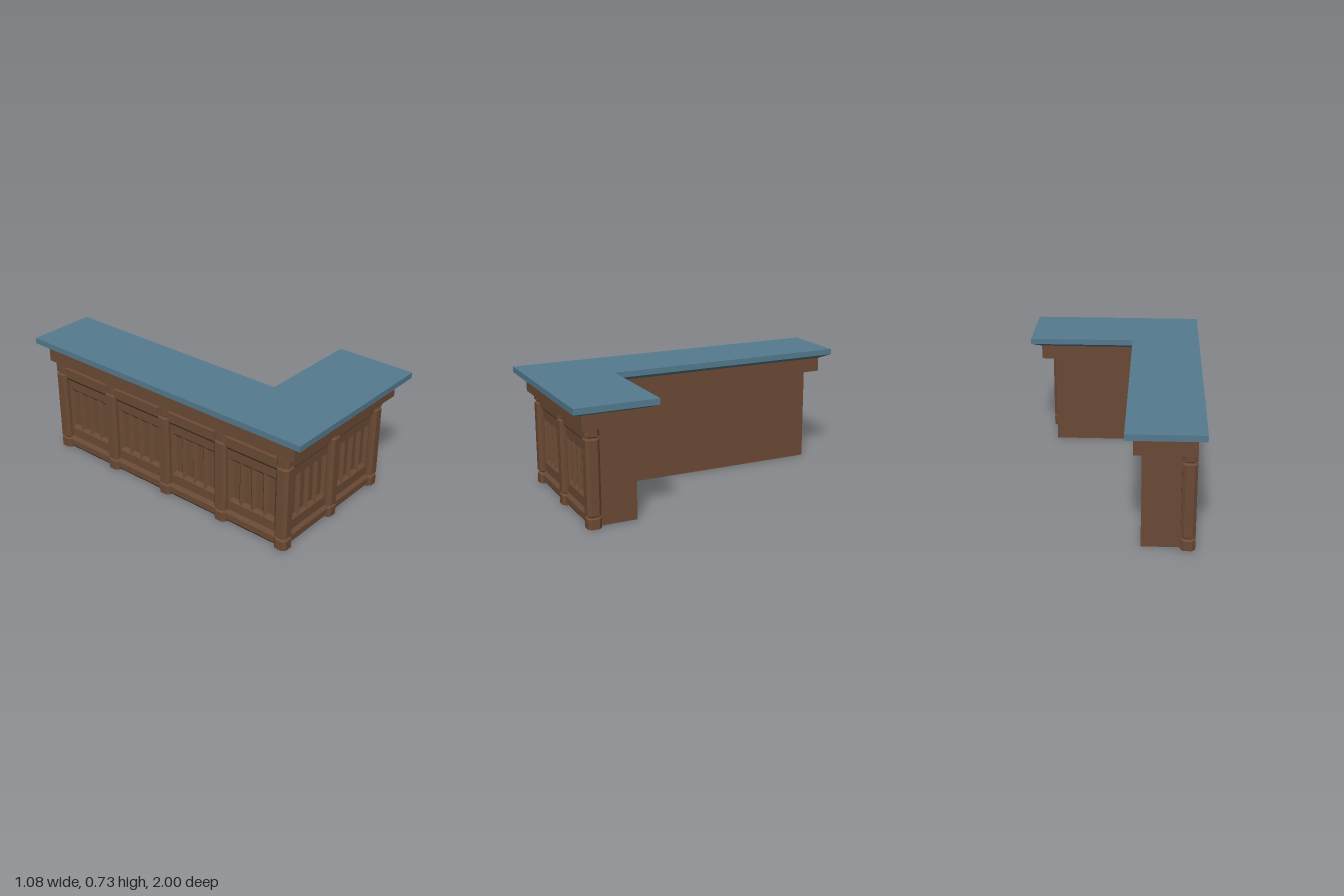
import * as THREE from 'three';

const wood = new THREE.MeshStandardMaterial({ color: 0x6b4a35, flatShading: true });
const blue = new THREE.MeshStandardMaterial({ color: 0x547a8e, flatShading: true });

function add(parent, name, geometry, material, x = 0, y = 0, z = 0) {
  const mesh = new THREE.Mesh(geometry, material);
  mesh.name = name;
  mesh.position.set(x, y, z);
  parent.add(mesh);
  return mesh;
}

// L-shaped outline in plan, as [x, z] corners
const lShape = (left, right, inner, back, notch, front) => [
  [left, front], [right, front], [right, notch], [inner, notch], [inner, back], [left, back],
];

// Prism from y0 to y1; its lower outline may differ from its upper one
function prism(upper, y0, y1, lower = upper) {
  const shape = new THREE.Shape(upper.map(([x, z]) => new THREE.Vector2(x, -z)));
  const geo = new THREE.ExtrudeGeometry(shape, { depth: y1 - y0, bevelEnabled: false });
  geo.rotateX(-Math.PI / 2);
  const p = geo.attributes.position;
  for (let i = 0; i < p.count; i++) {
    if (p.getY(i) > 1e-4) continue;
    const k = upper.findIndex(([x, z]) => Math.hypot(x - p.getX(i), z - p.getZ(i)) < 1e-4);
    p.setX(i, lower[k][0]);
    p.setZ(i, lower[k][1]);
  }
  geo.translate(0, y0, 0);
  geo.computeVertexNormals();
  return geo;
}

// Chamfered square post with a pinched neck near each end
function postGeometry() {
  const profile = [
    [0, 0], [0.041, 0], [0.041, 0.058], [0.031, 0.065], [0.031, 0.069], [0.041, 0.077],
    [0.041, 0.508], [0.031, 0.516], [0.031, 0.521], [0.041, 0.528], [0.041, 0.58], [0, 0.58],
  ].map(([r, y]) => new THREE.Vector2(r / Math.cos(Math.PI / 8), y));
  const geo = new THREE.LatheGeometry(profile, 8, Math.PI / 8);
  const p = geo.attributes.position;
  for (let i = 0; i < p.count; i++) {
    // widen the main faces so the corners become narrow chamfers
    const x = p.getX(i), z = p.getZ(i);
    if (Math.abs(x) < Math.abs(z)) p.setX(i, x * 1.355);
    else p.setZ(i, z * 1.355);
  }
  geo.computeVertexNormals();
  return geo;
}

// Moulding: [z, y] profile swept along x
function moulding(profile, width) {
  const shape = new THREE.Shape(profile.map(([z, y]) => new THREE.Vector2(-z, y)));
  const geo = new THREE.ExtrudeGeometry(shape, { depth: width, bevelEnabled: false });
  geo.rotateY(Math.PI / 2);
  geo.translate(-width / 2, 0, 0);
  return geo;
}

const FACE = 0.008, CARVE_LOW = 0.138, CARVE_HIGH = 0.42;

// Row of recessed flutes meeting at sharp ridges
function fluteGeometry(width, count) {
  const pos = [], w = width / count, floor = FACE - 0.018;
  for (let n = 0; n < count; n++) {
    const a = -width / 2 + n * w, b = a + w;
    const outer = [[a, CARVE_LOW], [b, CARVE_LOW], [b, CARVE_HIGH], [a, CARVE_HIGH]]
      .map(([x, y]) => [x, y, FACE]);
    const inner = outer.map(([x, y], i) => [
      x + (i === 0 || i === 3 ? 0.018 : -0.018), y + (i < 2 ? 0.024 : -0.02), floor,
    ]);
    const quad = (p, q, r, s) => pos.push(...p, ...q, ...r, ...p, ...r, ...s);
    quad(...inner);
    for (let i = 0; i < 4; i++) {
      const j = (i + 1) % 4;
      quad(outer[i], outer[j], inner[j], inner[i]);
    }
  }
  const geo = new THREE.BufferGeometry();
  geo.setAttribute('position', new THREE.Float32BufferAttribute(pos, 3));
  geo.computeVertexNormals();
  return geo;
}

// One bay between two posts, facing +z
function panelBay(width) {
  const bay = new THREE.Group();
  bay.name = 'panelBay';
  const carved = width - 0.1;
  const plate = new THREE.Shape();
  plate.moveTo(-width / 2, 0.04).lineTo(width / 2, 0.04).lineTo(width / 2, 0.56)
    .lineTo(-width / 2, 0.56).closePath();
  const hole = new THREE.Path();
  hole.moveTo(-carved / 2, CARVE_LOW).lineTo(-carved / 2, CARVE_HIGH)
    .lineTo(carved / 2, CARVE_HIGH).lineTo(carved / 2, CARVE_LOW).closePath();
  plate.holes.push(hole);
  add(bay, 'panelPlate', new THREE.ExtrudeGeometry(plate, { depth: 0.03, bevelEnabled: false }),
    wood, 0, 0, FACE - 0.03);
  add(bay, 'carvedFlutes', fluteGeometry(carved, 4), wood);
  add(bay, 'baseMoulding', moulding([
    [-0.022, 0], [0.01, 0], [0.025, 0.02], [0.025, 0.058], [FACE, 0.08], [-0.022, 0.08],
  ], width), wood);
  add(bay, 'topRail', moulding([
    [-0.022, 0.475], [FACE, 0.475], [0.025, 0.497], [0.025, 0.555], [0.01, 0.578], [-0.022, 0.578],
  ], width), wood);
  return bay;
}

export function createModel() {
  const model = new THREE.Group();
  model.name = 'counter';

  // Worktop, its sloped underside, the frieze and the plain carcass
  const top = lShape(-0.54, 0.54, -0.115, -1, 0.51, 1);
  const frieze = lShape(-0.495, 0.475, -0.16, -0.933, 0.555, 0.935);
  const carcass = lShape(-0.44, 0.388, -0.203, -0.852, 0.592, 0.835);
  add(model, 'worktop', prism(top, 0.692, 0.727), blue);
  add(model, 'worktopUnderside', prism(top, 0.667, 0.692, frieze), blue);
  add(model, 'frieze', prism(frieze, 0.58, 0.667), wood);
  add(model, 'carcass', prism(carcass, 0, 0.58), wood);

  const left = -0.458, right = 0.39, front = 0.855, back = -0.851;
  const post = postGeometry();

  // Front: two bays and their posts
  const frontBay = (right - left) / 2;
  for (let i = 0; i < 3; i++) {
    add(model, 'post', post, wood, left + i * frontBay, 0, front);
    if (i === 2) continue;
    const bay = panelBay(frontBay);
    bay.position.set(left + (i + 0.5) * frontBay, 0, front);
    model.add(bay);
  }

  // Long outer side: four bays, sharing the corner post
  const sideBay = (front - back) / 4;
  for (let i = 0; i < 4; i++) {
    add(model, 'post', post, wood, left, 0, back + i * sideBay);
    const bay = panelBay(sideBay);
    bay.rotation.y = -Math.PI / 2;
    bay.position.set(left, 0, back + (i + 0.5) * sideBay);
    model.add(bay);
  }
  return model;
}
